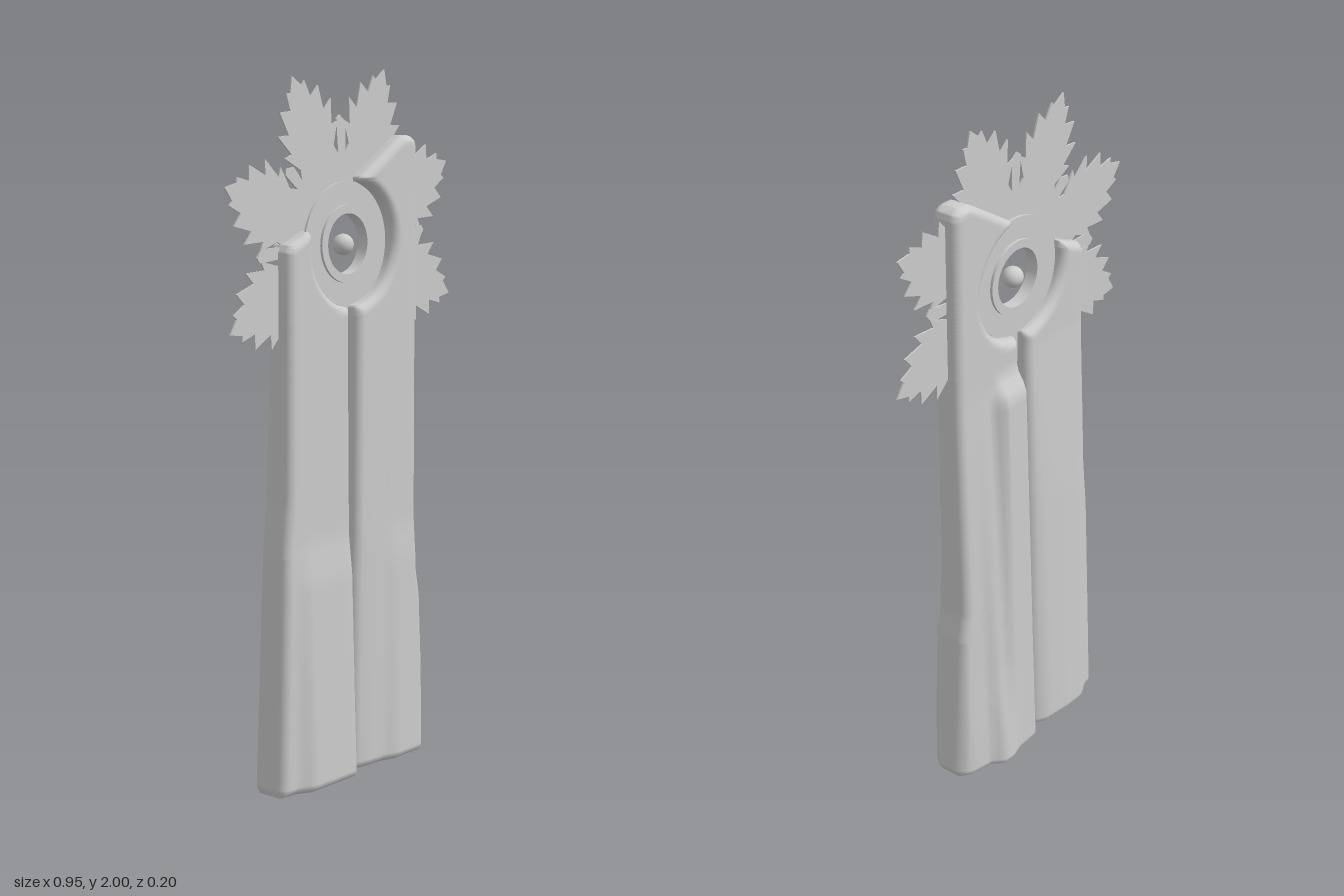
import * as THREE from 'three';

const CY = 1.523, NOTCH = 0.175, MID = 0.022; // centre height, notch radius, mid depth
const material = new THREE.MeshStandardMaterial({ color: 0xcccccc });

// piecewise linear lookup in [[key, value], ...]
function lerpTable(table, k) {
  if (k <= table[0][0]) return table[0][1];
  for (let i = 1; i < table.length; i++) {
    const [k0, v0] = table[i - 1], [k1, v1] = table[i];
    if (k <= k1) return v0 + (v1 - v0) * (k - k0) / Math.max(k1 - k0, 1e-9);
  }
  return table[table.length - 1][1];
}

// notch edge as [y, x] points
function notchArc(from, to, side) {
  const pts = [];
  for (let i = 0; i <= 40; i++) {
    const a = THREE.MathUtils.degToRad(from + (to - from) * i / 40);
    pts.push([CY + NOTCH * Math.sin(a), side * NOTCH * Math.cos(a)]);
  }
  return pts;
}

function edgeDistance(outline, x, y) {
  let best = Infinity;
  outline.forEach(([y0, x0], i) => {
    const [y1, x1] = outline[(i + 1) % outline.length];
    const dx = x1 - x0, dy = y1 - y0;
    const t = THREE.MathUtils.clamp(((x - x0) * dx + (y - y0) * dy) / (dx * dx + dy * dy + 1e-12), 0, 1);
    best = Math.min(best, Math.hypot(x - x0 - t * dx, y - y0 - t * dy));
  });
  return best;
}

// slab lofted upward from rings between a left and a right edge, with rounded rims
function slabGeometry(left, right, front, back) {
  const outline = [...left, ...right.slice().reverse()];
  const top = Math.max(...outline.map((p) => p[0]));
  const ys = [0.0015, 0.006, 0.013, ...outline.map((p) => p[0])];
  for (let y = 0.025; y < top; y += y < 1.3 ? 0.025 : 0.008) ys.push(y);
  ys.sort((a, b) => a - b);
  const rows = ys.filter((y, i) => i === 0 || y - ys[i - 1] > 1e-4);
  const rim = [0, 0.0012, 0.005, 0.011, 0.018, 0.025], inner = 16, r = 0.025;
  const pos = [], index = [], n = 2 * rim.length + inner - 1;
  for (const y of rows) {
    const x0 = lerpTable(left, y), x1 = lerpTable(right, y), w = x1 - x0;
    const s = Math.min(1, w / 0.09);
    const xs = rim.map((e) => x0 + e * s);
    for (let i = 1; i < inner; i++) xs.push(x0 + r * s + (w - 2 * r * s) * i / inner);
    xs.push(...rim.slice().reverse().map((e) => x1 - e * s));
    const cut = xs.map((x) => {
      const t = Math.min(edgeDistance(outline, x, y) / r, 1);
      return r * (1 - Math.sqrt(1 - (1 - t) ** 2));
    });
    for (let i = 0; i < n; i++) pos.push(xs[i], y, front(xs[i], y) - cut[i]);
    for (let i = n - 1; i >= 0; i--) pos.push(xs[i], y, back(xs[i], y) + cut[i]);
  }
  const m = 2 * n;
  for (let j = 0; j < rows.length - 1; j++) {
    for (let i = 0; i < m; i++) {
      const a = j * m + i, b = j * m + (i + 1) % m;
      index.push(a, b, b + m, a, b + m, a + m);
    }
  }
  const last = (rows.length - 1) * m;
  for (let i = 0; i < n - 1; i++) {
    const f0 = i, f1 = i + 1, b0 = m - 1 - i, b1 = m - 2 - i;
    index.push(f0, b0, f1, f1, b0, b1);
    index.push(last + f0, last + f1, last + b0, last + f1, last + b1, last + b0);
  }
  const g = new THREE.BufferGeometry();
  g.setAttribute('position', new THREE.Float32BufferAttribute(pos, 3));
  g.setIndex(index);
  g.computeVertexNormals();
  return g;
}

// flat washer centred on the hub
function washer(outer, inner, depth) {
  const shape = new THREE.Shape().absarc(0, 0, outer, 0, Math.PI * 2);
  shape.holes.push(new THREE.Path().absarc(0, 0, inner, 0, Math.PI * 2, true));
  return new THREE.ExtrudeGeometry(shape, { depth, bevelEnabled: false, curveSegments: 48 })
    .translate(0, 0, -depth / 2);
}

// eight serrated lobes with a narrow spike between neighbours
function leafGeometry() {
  const half = [[0.265, 0.075], [0.32, 0.118], [0.318, 0.09], [0.385, 0.118], [0.37, 0.078],
    [0.44, 0.085], [0.425, 0.045], [0.475, 0.04], [0.468, 0.025]];
  const lobe = [...half.map(([a, b]) => [a, -b]), [0.507, 0], ...half.slice().reverse()];
  const pts = [];
  for (let k = 0; k < 8; k++) {
    const add = (deg, list) => {
      const a = THREE.MathUtils.degToRad(deg), c = Math.cos(a), s = Math.sin(a);
      list.forEach(([u, v]) => pts.push(new THREE.Vector2(u * c - v * s, u * s + v * c)));
    };
    const tip = k % 2 ? 0.355 : 0.32;
    add(25 + 45 * k, lobe);
    add(47.5 + 45 * k, [[0.25, -0.016], [tip - 0.02, -0.02], [tip, 0.003], [tip - 0.01, 0.018], [0.25, 0.014]]);
  }
  const shape = new THREE.Shape(pts);
  shape.holes.push(new THREE.Path().absarc(0, 0, 0.1, 0, Math.PI * 2, true));
  return new THREE.ExtrudeGeometry(shape, { depth: 0.005, bevelEnabled: false, curveSegments: 32 })
    .translate(0, 0, -0.0025);
}

export function createModel() {
  const model = new THREE.Group();
  const add = (name, geometry, y = 0, z = 0) => {
    const mesh = new THREE.Mesh(geometry, material);
    mesh.name = name;
    mesh.position.set(0, y, z);
    model.add(mesh);
  };
  const FRONT = 0.067, BACK = -0.021;
  const frontSwell = [[0, 1], [0.6, 0.45], [0.71, 0.06], [1.1, 0]];
  const depth = (rest, profile, swell) => (x, y) =>
    rest + (lerpTable(profile, x) - rest) * lerpTable(swell, y);

  // short slab on the right-hand side
  add('shortSlab', slabGeometry(
    [[0, -0.305], [0.02, -0.312], [0.68, -0.29], [0.83, -0.276], [1.2, -0.272], [1.515, -0.272],
      [1.535, -0.26], [1.55, -0.22], [1.566, -0.188]],
    [[0, -0.02], [0.02, -0.014], [1.32, -0.019], ...notchArc(-84, 8, -1), [1.566, -0.178]],
    depth(FRONT, [[-0.31, 0.07], [-0.25, 0.076], [-0.21, 0.1], [-0.03, 0.1], [-0.015, 0.088]], frontSwell),
    depth(BACK, [[-0.31, -0.045], [-0.27, -0.05], [-0.22, -0.077], [-0.15, -0.077], [-0.06, -0.067],
      [-0.015, -0.04]], [[0, 1], [0.8, 0.5], [1.2, 0.1], [1.3, 0]]),
  ));

  // tall slab with a hooked top; its back swells abruptly along the inner edge
  const backProfile = [[0.01, -0.085], [0.1, -0.088], [0.14, -0.102], [0.18, -0.1], [0.205, -0.07],
    [0.28, -0.055], [0.315, -0.03]];
  const innerBack = depth(BACK, backProfile, [[0, 1], [0.33, 0.85], [1.21, 0.5], [1.26, 0]]);
  const outerBack = depth(BACK, backProfile, [[0, 1], [0.33, 0.6], [0.8, 0.3], [1.25, 0]]);
  add('tallSlab', slabGeometry(
    [[0, 0.012], [0.02, 0.005], [1.32, 0.015], ...notchArc(-84, 77, 1), [1.705, 0.036],
      [1.73, 0.075], [1.8, 0.185], [1.816, 0.215]],
    [[0, 0.305], [0.02, 0.315], [0.48, 0.29], [0.56, 0.276], [1.785, 0.276], [1.805, 0.27], [1.816, 0.25]],
    depth(FRONT, [[0.01, 0.052], [0.06, 0.066], [0.13, 0.07], [0.17, 0.086], [0.28, 0.086], [0.315, 0.06]], frontSwell),
    (x, y) => THREE.MathUtils.lerp(innerBack(x, y), outerBack(x, y), THREE.MathUtils.smoothstep(x, 0.11, 0.145)),
  ));

  // leaf, concentric rings and floating bead
  add('leaf', leafGeometry(), CY, MID - 0.002);
  add('outerRing', washer(0.172, 0.105, 0.02), CY, MID - 0.003);
  add('innerRing', washer(0.108, 0.084, 0.036), CY, MID - 0.003);
  add('bead', new THREE.SphereGeometry(0.03, 24, 16), CY - 0.003, MID - 0.003);
  return model;
}
